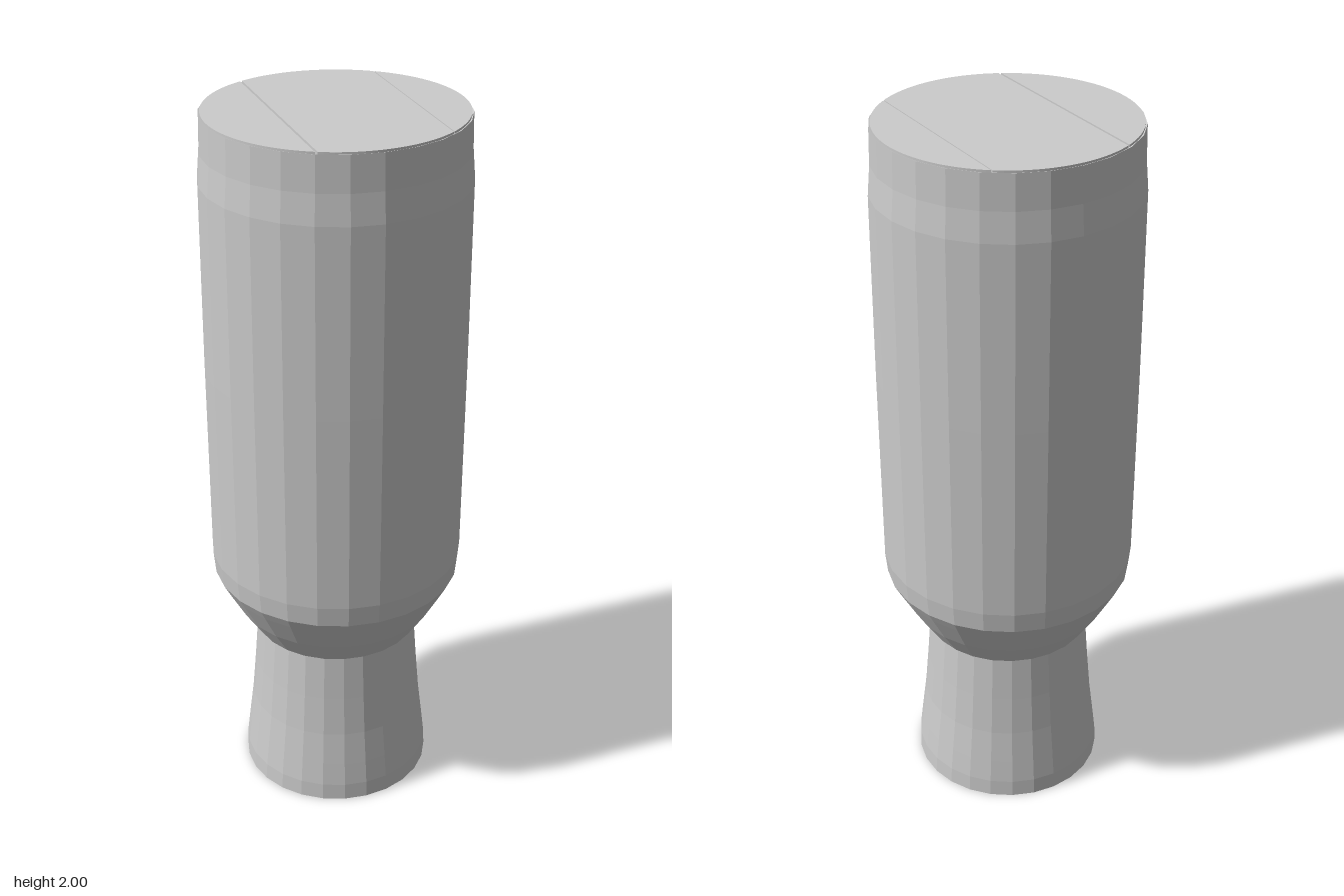
import * as THREE from 'three';

const SEGMENTS = 26;

// Revolve a list of [radius, height] pairs into a faceted ring
function revolve(name, profile, material) {
  const points = profile.map(([r, y]) => new THREE.Vector2(r, y));
  const mesh = new THREE.Mesh(new THREE.LatheGeometry(points, SEGMENTS), material);
  mesh.name = name;
  return mesh;
}

// Slice of the round lid between x = a and x = b (a < 0 < b not required)
function lidSlice(name, radius, a, b, material) {
  const ta = Math.acos(Math.max(-1, a / radius));
  const tb = Math.acos(Math.min(1, b / radius));
  const shape = new THREE.Shape();
  shape.absarc(0, 0, radius, tb, ta, false);
  shape.absarc(0, 0, radius, -ta, -tb, false);
  const geometry = new THREE.ExtrudeGeometry(shape, { depth: 0.03, bevelEnabled: false, curveSegments: 14 });
  geometry.rotateX(-Math.PI / 2);
  const mesh = new THREE.Mesh(geometry, material);
  mesh.position.y = 1.97;
  mesh.name = name;
  return mesh;
}

export function createModel() {
  const model = new THREE.Group();
  model.name = 'bottle';
  const grey = new THREE.MeshStandardMaterial({ color: 0xcccccc, flatShading: true });

  // Hollow flared neck: up the outside, down the inside, closed at the foot rim
  model.add(revolve('neck', [
    [0.270, 0], [0.268, 0.05], [0.260, 0.12], [0.248, 0.22], [0.238, 0.34], [0.228, 0.48],
    [0.208, 0.48], [0.218, 0.34], [0.228, 0.22], [0.238, 0.12], [0.246, 0], [0.270, 0],
  ], grey));

  // Hollow body with sloped shoulder, straight wall and slightly narrowed top
  model.add(revolve('body', [
    [0.208, 0.48], [0.236, 0.48], [0.285, 0.555], [0.332, 0.64], [0.348, 0.67], [0.354, 0.73],
    [0.356, 1.30], [0.355, 1.82], [0.348, 1.90], [0.346, 1.995],
    [0.328, 1.99], [0.334, 1.82], [0.334, 0.73], [0.312, 0.65], [0.208, 0.48],
  ], grey));

  // Flat lid in three panels separated by narrow seams
  const lid = new THREE.Group();
  lid.name = 'lid';
  const r = 0.341;
  lid.add(lidSlice('lidRight', r, -r, -0.159, grey));
  lid.add(lidSlice('lidMiddle', r, -0.153, 0.203, grey));
  lid.add(lidSlice('lidLeft', r, 0.206, r, grey));
  model.add(lid);

  return model;
}
